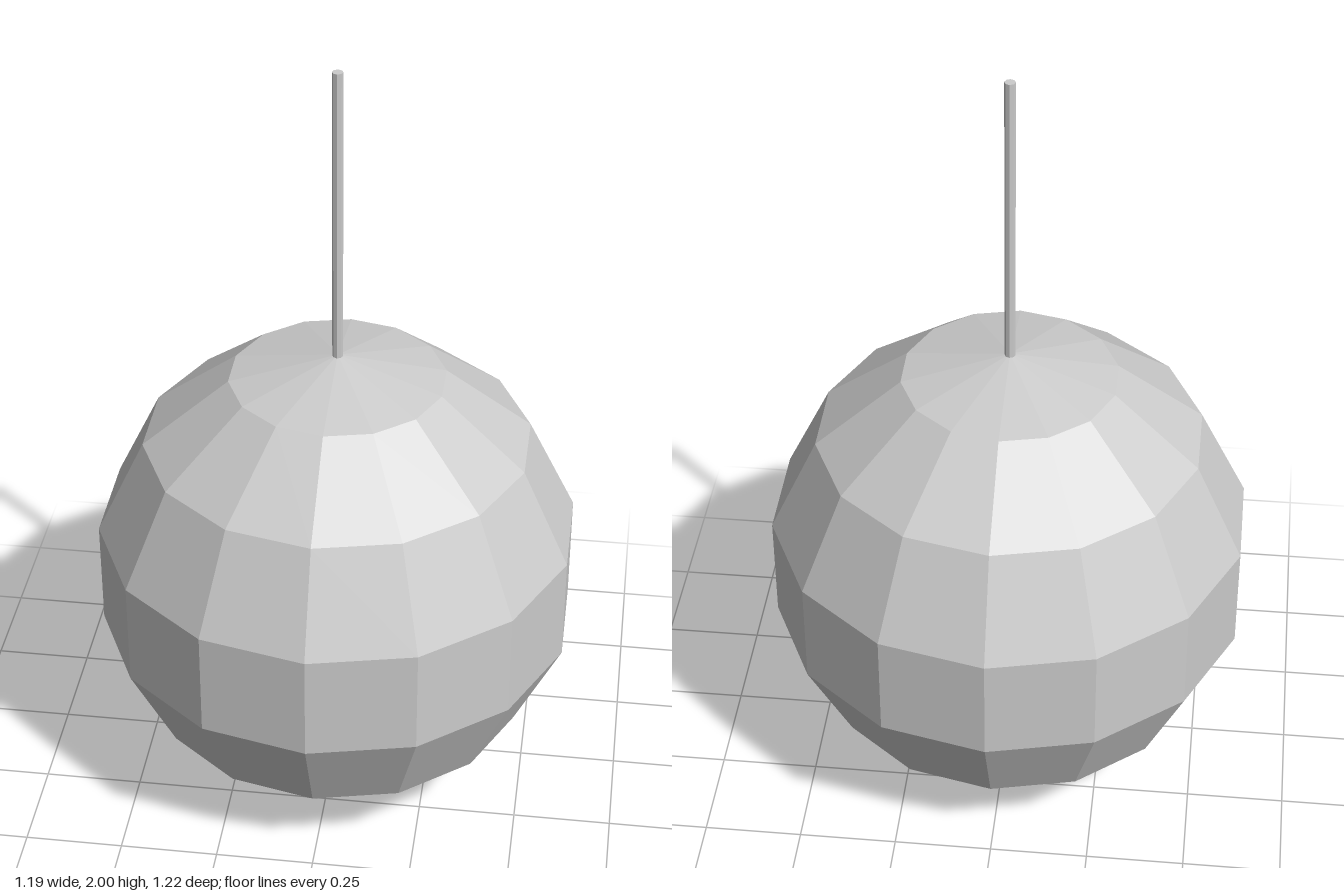
import * as THREE from 'three';

export function createModel() {
  const group = new THREE.Group();
  const material = new THREE.MeshStandardMaterial({ color: 0xcccccc, flatShading: true });

  // Faceted globe: 14 sides, 7 bands, with the bottom tip cut flat
  const sides = 14, bands = 7, radius = 0.628, centerY = 0.604;
  const profile = [new THREE.Vector2(0, 0), new THREE.Vector2(0.12, 0.002)];
  for (let i = 1; i <= bands; i++) {
    const a = (i / bands) * Math.PI;
    const r = i === bands ? 0 : radius * Math.sin(a);
    profile.push(new THREE.Vector2(r, centerY - radius * Math.cos(a)));
  }
  const globe = new THREE.Mesh(new THREE.LatheGeometry(profile, sides), material);
  globe.name = 'globeShade';
  group.add(globe);

  // Thin hanging rod, sunk slightly into the top of the globe
  const rodBottom = 1.2, rodTop = 2;
  const rod = new THREE.Mesh(
    new THREE.CylinderGeometry(0.0135, 0.0135, rodTop - rodBottom, 8), material);
  rod.position.y = (rodBottom + rodTop) / 2;
  rod.name = 'hangingRod';
  group.add(rod);

  return group;
}
